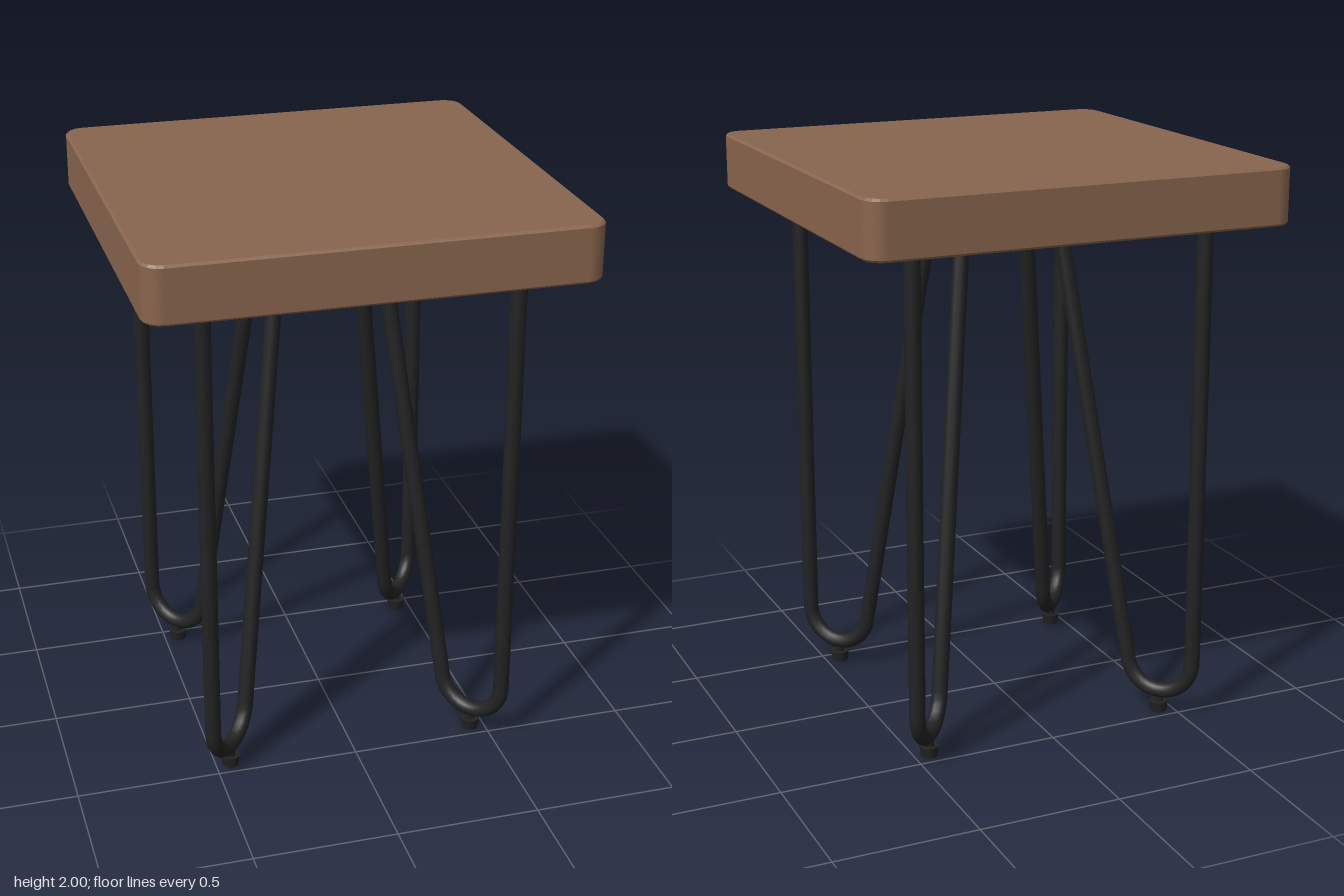
import * as THREE from 'three';

const wood = new THREE.MeshStandardMaterial({ color: 0x89654e });
wood.name = 'brown wood';
const steel = new THREE.MeshStandardMaterial({ color: 0x222222 });
steel.name = 'black steel';

const HALF = 0.747, CORNER = 0.067, BEVEL = 0.008;
const SEAT_BOTTOM = 1.805, SEAT_TOP = 2;

// Square slab with coarse rounded corners, shaded smoothly around the sides
function makeSeat() {
  const c = HALF - CORNER;
  const shape = new THREE.Shape();
  [[1, 1], [-1, 1], [-1, -1], [1, -1]].forEach(([x, y], i) => {
    shape.absarc(x * c, y * c, CORNER, i * Math.PI / 2, (i + 1) * Math.PI / 2, false);
  });
  const geo = new THREE.ExtrudeGeometry(shape, {
    depth: SEAT_TOP - SEAT_BOTTOM - 2 * BEVEL, curveSegments: 2,
    bevelSize: BEVEL, bevelThickness: BEVEL, bevelOffset: -BEVEL, bevelSegments: 1,
  });
  geo.rotateX(-Math.PI / 2).translate(0, SEAT_BOTTOM + BEVEL, 0);
  const pos = geo.attributes.position, nor = geo.attributes.normal;
  const clamp = (v) => THREE.MathUtils.clamp(v, -c, c);
  for (let i = 0; i < pos.count; i++) {
    if (Math.abs(nor.getY(i)) > 0.1) continue;
    const x = pos.getX(i), z = pos.getZ(i);
    const n = new THREE.Vector3(x - clamp(x), 0, z - clamp(z)).normalize();
    nor.setXYZ(i, n.x, 0, n.z);
  }
  const seat = new THREE.Mesh(geo, wood);
  seat.name = 'seat';
  return seat;
}

// Hairpin rod and foot for the corner with the given signs of x and z
function makeLeg(sx, sz, name) {
  const outer = new THREE.Vector2(0.527, 0.541), inner = new THREE.Vector2(0.176, 0.131);
  const dir = inner.clone().sub(outer).normalize();
  // s runs from the outer rod towards the inner one
  const at = (s, y) => new THREE.Vector3(sx * (outer.x + dir.x * s), y, sz * (outer.y + dir.y * s));

  const R = 0.122, bendY = 0.2, lean = THREE.MathUtils.degToRad(10);
  const bend = [];
  for (let i = 0; i <= 24; i++) {
    const a = Math.PI + (Math.PI - lean) * i / 24;
    bend.push(at(R + R * Math.cos(a), bendY + R * Math.sin(a)));
  }
  const path = new THREE.CurvePath();
  path.add(new THREE.LineCurve3(at(0, 1.82), bend[0]));
  path.add(new THREE.CatmullRomCurve3(bend));
  path.add(new THREE.LineCurve3(bend[24], at(0.542, 1.82)));

  const leg = new THREE.Group();
  leg.name = name;
  const rod = new THREE.Mesh(new THREE.TubeGeometry(path, 130, 0.028, 12), steel);
  rod.name = 'hairpinRod';

  // Small levelling foot with a narrow neck
  const base = at(R, 0);
  const foot = new THREE.Mesh(new THREE.CylinderGeometry(0.034, 0.029, 0.038, 16), steel);
  foot.name = 'foot';
  foot.position.set(base.x, 0.019, base.z);
  const neck = new THREE.Mesh(new THREE.CylinderGeometry(0.017, 0.017, 0.04, 12), steel);
  neck.name = 'footNeck';
  neck.position.set(base.x, 0.05, base.z);
  leg.add(rod, foot, neck);
  return leg;
}

export function createModel() {
  const model = new THREE.Group();
  model.name = 'stool';
  model.add(makeSeat());
  for (const [sx, side] of [[1, 'Left'], [-1, 'Right']]) {
    for (const [sz, end] of [[1, 'front'], [-1, 'back']]) {
      model.add(makeLeg(sx, sz, `${end}${side}Leg`));
    }
  }
  return model;
}
